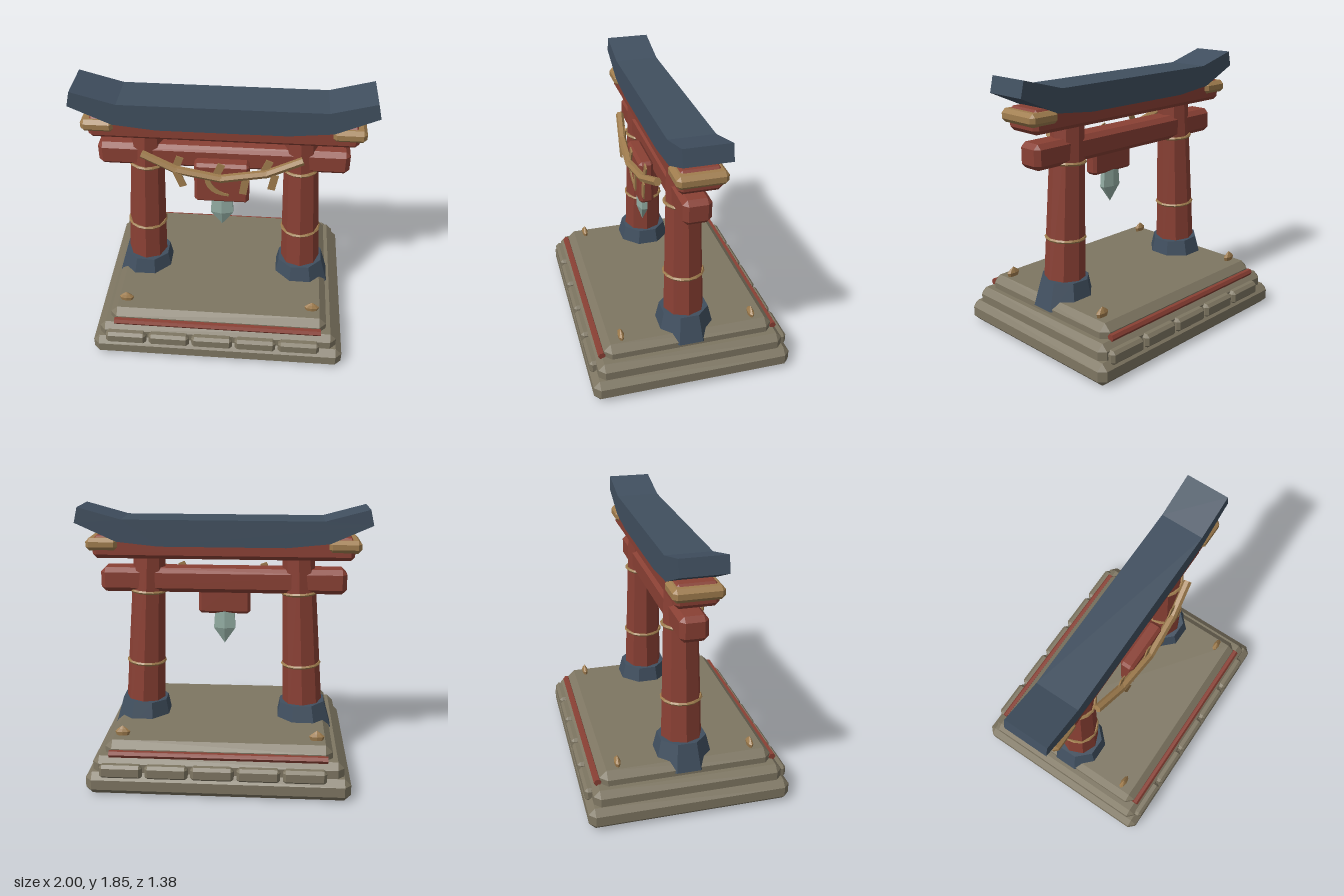
import * as THREE from 'three';
import { ConvexGeometry } from 'three/addons/geometries/ConvexGeometry.js';

const mat = (name, color, side = THREE.FrontSide) => {
  const m = new THREE.MeshStandardMaterial({ color, flatShading: true, side });
  m.name = name;
  return m;
};

// Box with bevelled edges and corners, given by its minimum and maximum corners
function bevelBox([x0, y0, z0], [x1, y1, z1], c) {
  const w = (x1 - x0) / 2, h = (y1 - y0) / 2, d = (z1 - z0) / 2;
  const pts = [];
  for (const i of [-1, 1]) for (const j of [-1, 1]) for (const k of [-1, 1]) {
    pts.push(new THREE.Vector3(i * w, j * (h - c), k * (d - c)));
    pts.push(new THREE.Vector3(i * (w - c), j * h, k * (d - c)));
    pts.push(new THREE.Vector3(i * (w - c), j * (h - c), k * d));
  }
  return new ConvexGeometry(pts).translate((x0 + x1) / 2, (y0 + y1) / 2, (z0 + z1) / 2);
}

const lathe = (pts, sides) => new THREE.LatheGeometry(pts.map(p => new THREE.Vector2(...p)), sides);

export function createModel() {
  const root = new THREE.Group();
  root.name = 'shrineGate';
  const red = mat('redWood', 0x8a4034);
  const blue = mat('slateBlue', 0x404f5f);
  const stone = mat('stone', 0x7e7662);
  const tan = mat('strawTan', 0xa07d4e, THREE.DoubleSide);
  const glass = mat('paleCrystal', 0x93ada3);

  const add = (name, geo, material, parent = root) => {
    const m = new THREE.Mesh(geo, material);
    m.name = name;
    parent.add(m);
    return m;
  };

  // Stepped stone base
  add('lowerStep', bevelBox([-0.885, 0, -0.69], [0.885, 0.155, 0.69], 0.043), stone);
  add('middleStep', bevelBox([-0.84, 0.08, -0.645], [0.84, 0.255, 0.645], 0.042), stone);
  add('upperStep', bevelBox([-0.765, 0.19, -0.59], [0.765, 0.345, 0.59], 0.048), stone);

  // Edge blocks and red rails, front and back
  for (const s of [1, -1]) {
    for (let i = 0; i < 5; i++) {
      const x = s * (-0.645 + 0.306 * i);
      add('edgeBlock', bevelBox([x - 0.144, 0.122, s * 0.645 - 0.045], [x + 0.144, 0.218, s * 0.645 + 0.045], 0.02), stone);
    }
    const rail = add('rail', new THREE.CylinderGeometry(0.025, 0.025, 1.46, 6), red);
    rail.rotation.z = Math.PI / 2;
    rail.position.set(0, 0.27, s * 0.605);
  }

  // Pointed studs at the corners of the platform
  const stud = lathe([[0, 0], [0.042, 0], [0.052, 0.03], [0.03, 0.05], [0, 0.072]], 8);
  for (const x of [-0.66, 0.66]) for (const z of [-0.46, 0.46]) {
    const m = add('stud', stud, tan);
    m.position.set(x, 0.342, z);
    m.scale.z = 0.42;
  }

  // Leaning pillars with footings and rope bands
  for (const s of [1, -1]) {
    const g = new THREE.Group();
    g.name = s > 0 ? 'leftPillar' : 'rightPillar';
    g.position.set(s * 0.578, 0.27, 0);
    g.rotation.z = s * 0.05;
    root.add(g);
    add('post', new THREE.CylinderGeometry(0.11, 0.145, 1.25, 8).translate(0, 0.635, 0), red, g);
    add('footing', new THREE.CylinderGeometry(0.168, 0.215, 0.19, 8).rotateY(Math.PI / 8).translate(0, 0.095, 0), blue, g);
    for (const [y, r] of [[0.47, 0.13], [0.99, 0.121]]) {
      const band = add('ropeBand', new THREE.TorusGeometry(r, 0.012, 5, 16), tan, g);
      band.rotation.x = Math.PI / 2;
      band.position.y = y;
    }
  }

  // Crossbeams and end caps
  add('lowerBeam', bevelBox([-0.85, 1.257, -0.093], [0.85, 1.427, 0.093], 0.032), red);
  add('upperBeam', bevelBox([-0.89, 1.5, -0.138], [0.89, 1.655, 0.138], 0.028), red);
  for (const s of [1, -1]) {
    add('beamCap', bevelBox([s * 0.822 - 0.11, 1.556, -0.16], [s * 0.822 + 0.11, 1.642, 0.16], 0.025), tan);
  }

  // Upswept roof
  const half = [[0.43, 1.59], [0.72, 1.62], [1, 1.745], [0.975, 1.85], [0.68, 1.77]];
  const outline = [...half, ...half.map(([x, y]) => [-x, y]).reverse()];
  const roof = new THREE.Shape(outline.map(p => new THREE.Vector2(...p)));
  add('roof', new THREE.ExtrudeGeometry(roof, { depth: 0.3, bevelEnabled: false }).translate(0, 0, -0.15), blue);

  // Hanging plaque with crescent and crystal
  add('plaque', bevelBox([-0.185, 1.06, 0.1], [0.185, 1.37, 0.2], 0.02), red);
  const moon = new THREE.Shape();
  moon.moveTo(-0.115, 1.28);
  moon.quadraticCurveTo(-0.11, 1.13, 0.05, 1.125);
  moon.lineTo(0.05, 1.14);
  moon.quadraticCurveTo(-0.06, 1.16, -0.085, 1.28);
  add('crescent', new THREE.ExtrudeGeometry(moon, { depth: 0.009, bevelEnabled: false, curveSegments: 6 }).translate(0, 0, 0.199), tan);
  const crystal = add('crystal', lathe([[0, 0.83], [0.09, 0.95], [0.08, 1.08], [0, 1.1]], 6), glass);
  crystal.position.z = 0.14;
  crystal.scale.z = 0.45;

  // Sagging rope made of straight lengths
  const path = [[-0.53, 1.415, 0.17], [-0.3, 1.325, 0.205], [0, 1.283, 0.225], [0.3, 1.325, 0.205], [0.53, 1.415, 0.17]]
    .map(p => new THREE.Vector3(...p));
  for (let i = 0; i < path.length - 1; i++) {
    const dir = path[i + 1].clone().sub(path[i]);
    const seg = add('rope', new THREE.CylinderGeometry(0.028, 0.028, dir.length() + 0.008, 6), tan);
    seg.position.copy(path[i]).addScaledVector(dir, 0.5);
    seg.quaternion.setFromUnitVectors(new THREE.Vector3(0, 1, 0), dir.normalize());
  }

  // Folded paper streamers: x, y, z, height, tilt
  const strips = [
    [-0.29, 1.375, 0.19, 0.09, -0.35], [-0.015, 1.345, 0.21, 0.09, -0.4], [0.3, 1.375, 0.19, 0.09, -0.4],
    [-0.275, 1.265, 0.225, 0.12, 0.35], [0.155, 1.235, 0.225, 0.14, -0.15], [0.345, 1.265, 0.215, 0.12, -0.2],
  ];
  for (const [x, y, z, h, tilt] of strips) {
    const strip = add('streamer', new THREE.BoxGeometry(0.05, h, 0.009), tan);
    strip.position.set(x, y, z);
    strip.rotation.z = tilt;
  }
  return root;
}
